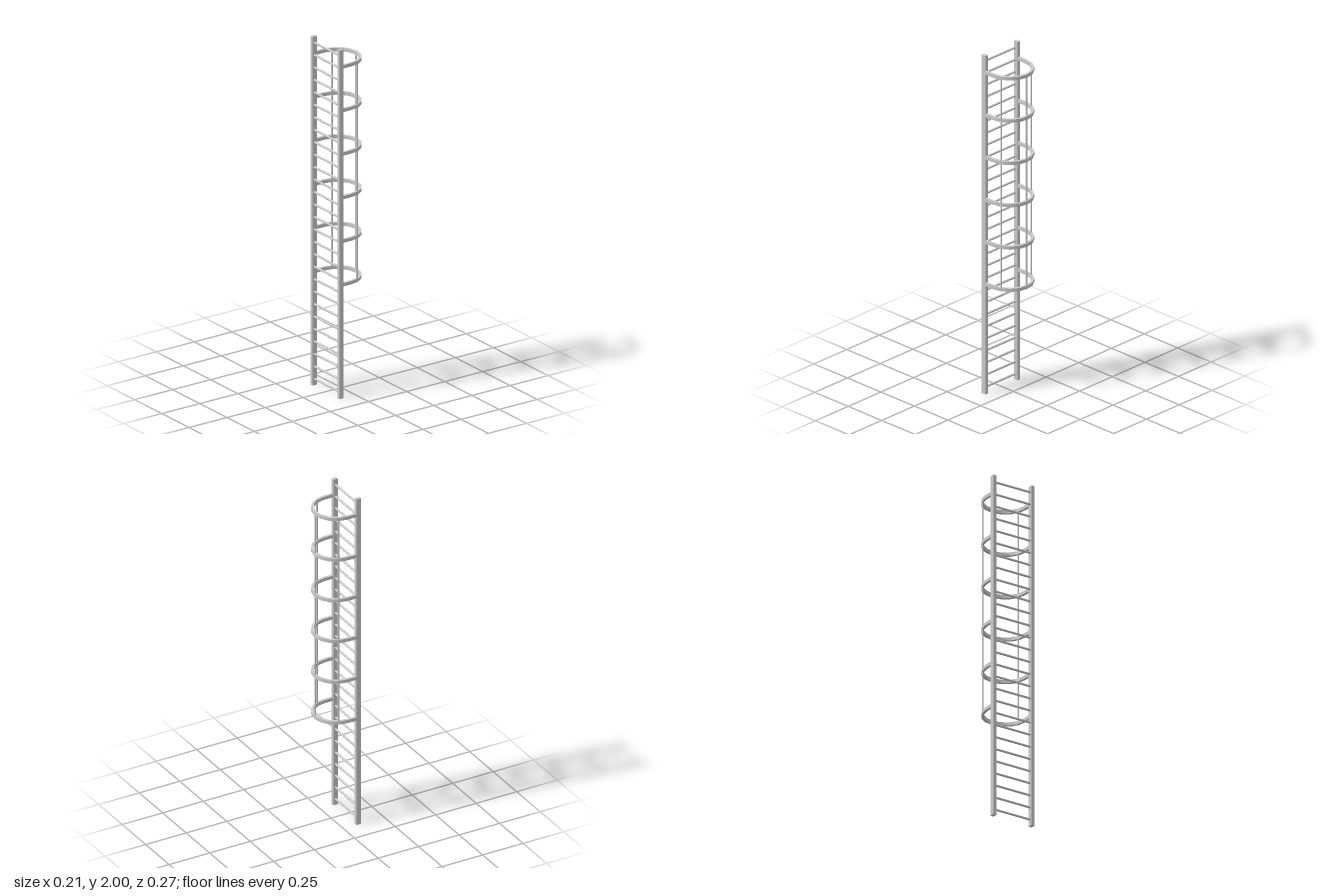
import * as THREE from 'three';
import { toCreasedNormals } from 'three/addons/utils/BufferGeometryUtils.js';

export function createModel() {
  const group = new THREE.Group();
  const material = new THREE.MeshStandardMaterial({ color: 0xcccccc });
  const railX = -0.093, railZ = 0.123;
  const hoopX = -0.026, hoopR = 0.124, hoopW = 0.0145, hoopH = 0.019;
  const hoopBottom = 0.65, hoopStep = 0.25, hoopCount = 6, segments = 8;

  const add = (name, geometry, x, y, z) => {
    const mesh = new THREE.Mesh(geometry, material);
    mesh.name = name;
    mesh.position.set(x, y, z);
    group.add(mesh);
    return mesh;
  };

  // Two upright side rails
  const railGeometry = new THREE.BoxGeometry(0.028, 2, 0.02);
  add('leftRail', railGeometry, railX, 1, -railZ);
  add('rightRail', railGeometry, railX, 1, railZ);

  // Evenly spaced round rungs
  const rungCount = 28;
  const rungGeometry = new THREE.CylinderGeometry(0.006, 0.006, railZ * 2, 12).rotateX(Math.PI / 2);
  for (let i = 0; i < rungCount; i++) {
    add('rung', rungGeometry, railX - 0.001, (i + 0.5) * 2 / rungCount, 0);
  }

  // Flat-bar safety hoops: straight arms joined by a half circle
  const outline = (r) => {
    const points = [new THREE.Vector2(railX, -r)];
    for (let i = 0; i <= segments; i++) {
      const a = -Math.PI / 2 + (i / segments) * Math.PI;
      points.push(new THREE.Vector2(hoopX + r * Math.cos(a), r * Math.sin(a)));
    }
    points.push(new THREE.Vector2(railX, r));
    return points;
  };
  const hoopShape = new THREE.Shape([
    ...outline(hoopR + hoopW / 2),
    ...outline(hoopR - hoopW / 2).reverse(),
  ]);
  const hoopGeometry = toCreasedNormals(
    new THREE.ExtrudeGeometry(hoopShape, { depth: hoopH, bevelEnabled: false })
      .translate(0, 0, -hoopH / 2)
      .rotateX(-Math.PI / 2),
    0.5
  );
  for (let i = 0; i < hoopCount; i++) {
    add('safetyHoop', hoopGeometry, 0, hoopBottom + i * hoopStep, 0);
  }

  // Vertical cage bars tying the hoops together
  const barHeight = hoopStep * (hoopCount - 1);
  const barGeometry = new THREE.CylinderGeometry(0.005, 0.005, barHeight, 8);
  for (const step of [-3, 0, 3]) {
    const a = (step / segments) * Math.PI;
    add('cageBar', barGeometry, hoopX + hoopR * Math.cos(a), hoopBottom + barHeight / 2, hoopR * Math.sin(a));
  }

  return group;
}
